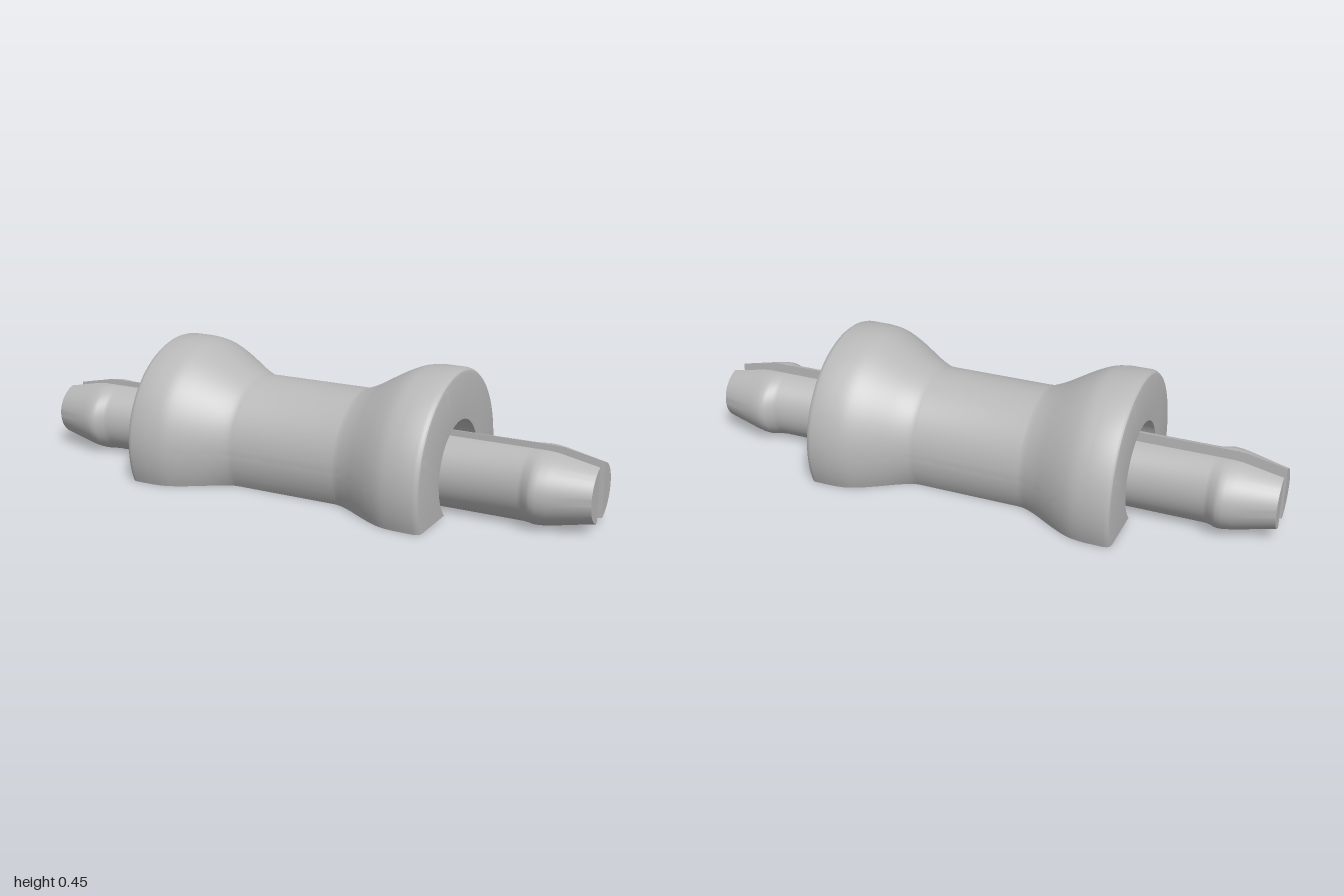
import * as THREE from 'three';
import { toCreasedNormals } from 'three/addons/utils/BufferGeometryUtils.js';

const AXIS = 0.12; // height of the long axis above the flat underside

// Skin a list of equally long cross-sections; optionally close the rings and cap the last one
function loft(rows, closed = false, cap = false) {
  const n = rows[0].length, index = [];
  for (let i = 0; i < rows.length - 1; i++) {
    for (let j = 0; j < (closed ? n : n - 1); j++) {
      const k = (j + 1) % n, a = i * n + j, b = i * n + k;
      index.push(a, b, a + n, b, b + n, a + n);
    }
  }
  const last = (rows.length - 1) * n;
  if (cap) for (let j = 1; j < n - 1; j++) index.push(last, last + j, last + j + 1);
  const g = new THREE.BufferGeometry();
  g.setAttribute('position', new THREE.Float32BufferAttribute(rows.flat(2), 3));
  g.setIndex(index);
  return toCreasedNormals(g, 0.5);
}

// Half of the spool profile as [x, radius], from the waist out to the socket floor
function halfProfile() {
  const flare = new THREE.SplineCurve([
    [0.18, 0.222], [0.205, 0.226], [0.25, 0.246], [0.3, 0.275],
    [0.35, 0.303], [0.4, 0.324], [0.45, 0.331],
  ].map(p => new THREE.Vector2(...p))).getPoints(24).map(p => [p.x, p.y]);
  return [
    ...flare, [0.515, 0.331], [0.525, 0.328], [0.532, 0.322], [0.535, 0.313],
    [0.535, 0.165], [0.33, 0.165], [0.33, 0.1205],
  ];
}

// One half of a split pin: an elliptical segment with a barb and tapered tip
function prongGeometry() {
  const sections = [ // x, half height, half depth
    [0.33, 0.125, 0.125], [0.775, 0.125, 0.125], [0.79, 0.125, 0.132],
    [0.81, 0.125, 0.15], [0.822, 0.125, 0.155], [0.84, 0.124, 0.154],
    [0.87, 0.12, 0.146], [1, 0.095, 0.105],
  ];
  const steps = 28;
  return loft(sections.map(([x, ry, rz]) => {
    const start = Math.asin(0.03 / rz), ring = [];
    for (let i = 0; i <= steps; i++) {
      const a = start + (Math.PI - 2 * start) * i / steps;
      ring.push([x, THREE.MathUtils.clamp(ry * Math.cos(a), -AXIS, AXIS), rz * Math.sin(a)]);
    }
    return ring;
  }), true, true);
}

export function createModel() {
  const model = new THREE.Group();
  model.name = 'splitPinSpool';
  const grey = new THREE.MeshStandardMaterial({ color: 0xb8b8b8 });
  grey.name = 'grey plastic';
  const add = (parent, name, geometry) => {
    const mesh = new THREE.Mesh(geometry, grey);
    mesh.name = name;
    parent.add(mesh);
    return mesh;
  };

  const assembly = new THREE.Group();
  assembly.name = 'assembly';
  assembly.position.y = AXIS;
  model.add(assembly);

  // Spool with sockets in both ends, each section cut off by the underside
  const half = halfProfile();
  const profile = [...half.map(([x, r]) => [-x, r]).reverse(), ...half];
  const steps = 72;
  add(assembly, 'spool', loft(profile.map(([x, r]) => {
    const limit = Math.PI - Math.acos(AXIS / r), arc = [];
    for (let i = 0; i <= steps; i++) {
      const a = limit * (2 * i / steps - 1);
      arc.push([x, r * Math.cos(a), r * Math.sin(a)]);
    }
    return arc;
  })));

  // Flat underside, notched where the sockets break through
  const edge = profile.map(([x, r]) => new THREE.Vector2(x, Math.sqrt(r * r - AXIS * AXIS)));
  const mirrored = edge.map(p => new THREE.Vector2(p.x, -p.y)).reverse();
  const underside = new THREE.ShapeGeometry(new THREE.Shape([...edge, ...mirrored]));
  underside.rotateX(Math.PI / 2).translate(0, -AXIS, 0);
  add(assembly, 'underside', underside);

  // Solid root between the prongs, ending in a rounded slot
  const root = new THREE.Shape();
  root.moveTo(0.33, -0.03);
  root.lineTo(0.385, -0.03);
  root.absarc(0.385, 0, 0.03, -Math.PI / 2, -Math.PI * 1.5, true);
  root.lineTo(0.33, 0.03);
  const rootGeometry = new THREE.ExtrudeGeometry(root, { depth: 2 * AXIS, bevelEnabled: false, curveSegments: 16 });
  rootGeometry.rotateX(Math.PI / 2).translate(0, AXIS, 0);
  const rootSmooth = toCreasedNormals(rootGeometry, 0.5);

  // A split pin at each end
  const prong = prongGeometry();
  for (const [name, turn] of [['leftPin', 0], ['rightPin', Math.PI]]) {
    const pin = new THREE.Group();
    pin.name = name;
    pin.rotation.y = turn;
    assembly.add(pin);
    add(pin, 'prong', prong);
    add(pin, 'oppositeProng', prong).rotation.x = Math.PI;
    add(pin, 'slotRoot', rootSmooth);
  }
  return model;
}
